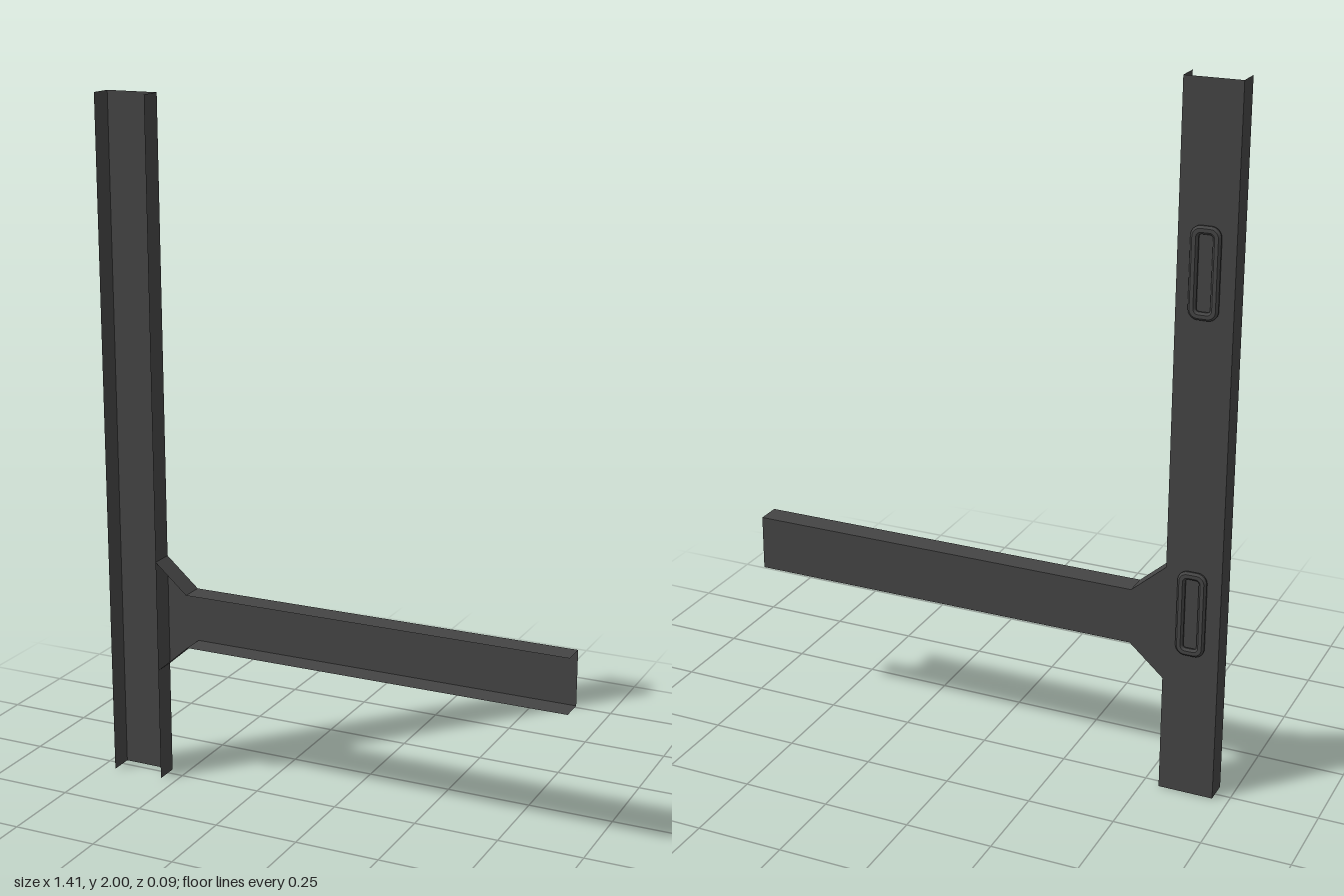
import * as THREE from 'three';

const BACK = -0.026, FRONT = 0.043;
const steel = new THREE.MeshStandardMaterial({ color: 0x444444, side: THREE.DoubleSide });
steel.name = 'dark steel';

const makeShape = pts => new THREE.Shape(pts.map(([x, y]) => new THREE.Vector2(x, y)));

// Flat sheet at the back of a channel
function web(name, pts) {
  const mesh = new THREE.Mesh(new THREE.ShapeGeometry(makeShape(pts)).translate(0, 0, BACK), steel);
  mesh.name = name;
  return mesh;
}

// Thin folded lip that follows a path from the back to the front
function flange(name, pts) {
  const pos = [];
  for (let i = 0; i < pts.length - 1; i++) {
    const [ax, ay] = pts[i], [bx, by] = pts[i + 1];
    pos.push(ax, ay, BACK, bx, by, BACK, bx, by, FRONT);
    pos.push(ax, ay, BACK, bx, by, FRONT, ax, ay, FRONT);
  }
  const geo = new THREE.BufferGeometry();
  geo.setAttribute('position', new THREE.Float32BufferAttribute(pos, 3));
  geo.computeVertexNormals();
  const mesh = new THREE.Mesh(geo, steel);
  mesh.name = name;
  return mesh;
}

function roundedRect(path, w, h, r) {
  const x = w / 2, y = h / 2;
  path.moveTo(x - r, -y);
  path.absarc(x - r, -y + r, r, -Math.PI / 2, 0);
  path.absarc(x - r, y - r, r, 0, Math.PI / 2);
  path.absarc(-x + r, y - r, r, Math.PI / 2, Math.PI);
  path.absarc(-x + r, -y + r, r, Math.PI, Math.PI * 1.5);
  path.closePath();
  return path;
}

// Raised rounded frame with a bevelled rim on the back of the post
function hookFrame(y) {
  const shape = roundedRect(new THREE.Shape(), 0.07, 0.236, 0.022);
  shape.holes.push(roundedRect(new THREE.Path(), 0.05, 0.216, 0.014));
  const geo = new THREE.ExtrudeGeometry(shape, {
    depth: 0.005, bevelThickness: 0.006, bevelSize: 0.006, bevelSegments: 1, curveSegments: 6,
  });
  const mesh = new THREE.Mesh(geo, steel);
  mesh.position.set(-0.626, y, BACK - 0.011);
  mesh.name = 'hookFrame';
  return mesh;
}

export function createModel() {
  const model = new THREE.Group();
  const L = -0.705, R = -0.548, END = 0.705;

  // Upright channel
  const post = new THREE.Group();
  post.name = 'post';
  post.add(
    web('postWeb', [[L, 0], [R, 0], [R, 2], [L, 2]]),
    flange('postOuterFlange', [[L, 0], [L, 2]]),
    flange('postInnerFlange', [[R, 0], [R, 2]]),
    hookFrame(0.553), hookFrame(1.505),
  );

  // Side arm with a flared root
  const top = [[R, 0.673], [-0.45, 0.587], [END, 0.587]];
  const bottom = [[R, 0.34], [-0.45, 0.427], [END, 0.427]];
  const arm = new THREE.Group();
  arm.name = 'arm';
  arm.add(
    web('armWeb', [...bottom, ...[...top].reverse()]),
    flange('armTopFlange', top),
    flange('armBottomFlange', bottom),
  );

  model.add(post, arm);
  return model;
}
